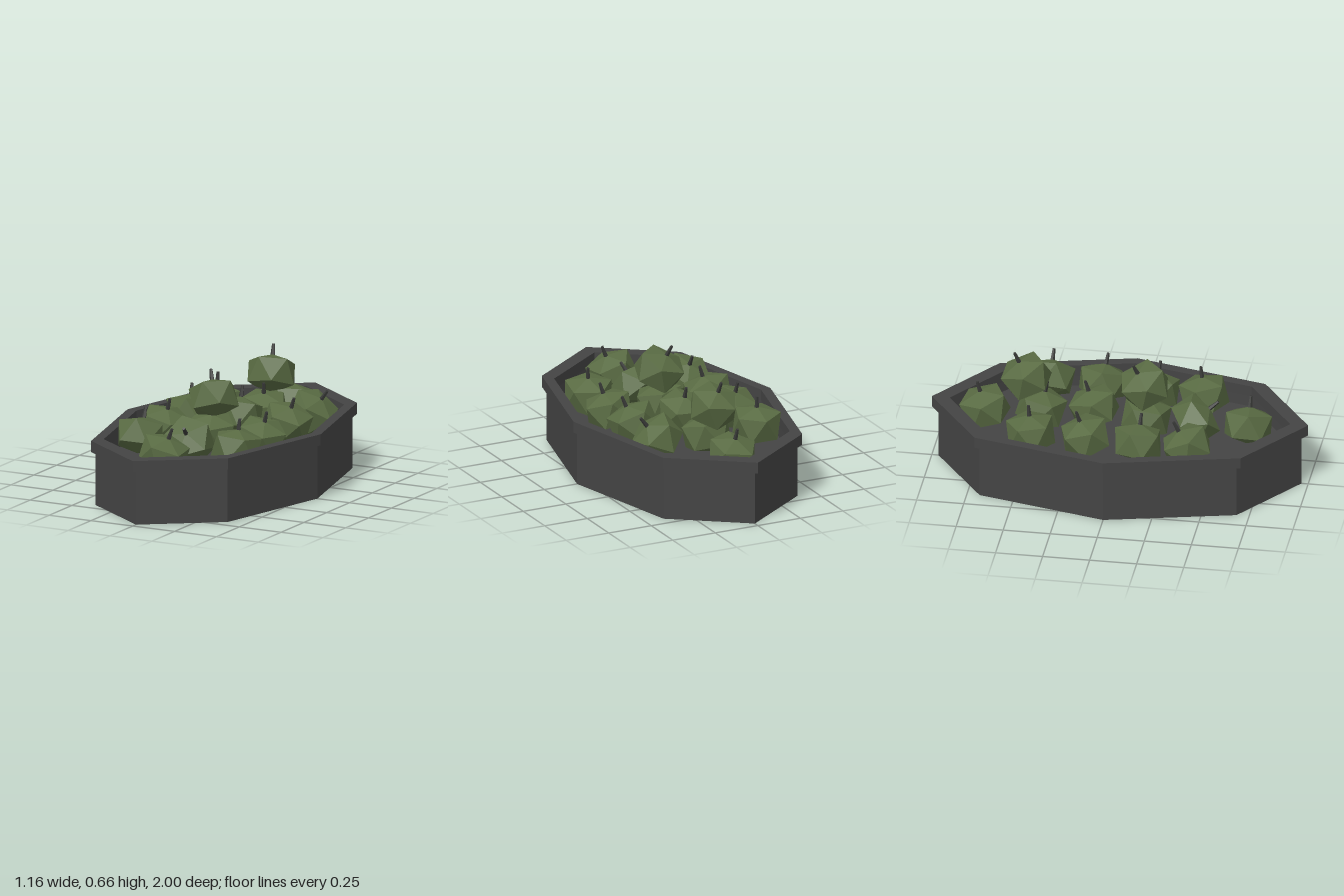
import * as THREE from 'three';

const stone = new THREE.MeshStandardMaterial({ color: 0x444444, flatShading: true });
stone.name = 'dark grey';
const green = new THREE.MeshStandardMaterial({ color: 0x596b43, flatShading: true });
green.name = 'olive green';
const stemGrey = new THREE.MeshStandardMaterial({ color: 0x393a38, flatShading: true });
stemGrey.name = 'stem grey';

// Eight-sided ring or tub, stretched along z
function octagon(name, profile) {
  const geometry = new THREE.LatheGeometry(profile.map(([r, y]) => new THREE.Vector2(r, y)), 8);
  geometry.scale(0.578, 1, 1);
  const mesh = new THREE.Mesh(geometry, stone);
  mesh.name = name;
  return mesh;
}

// Squashed twenty-sided fruit: two five-point rings, the lower one turned half a step
function fruitGeometry() {
  const geometry = new THREE.SphereGeometry(1, 5, 3);
  const p = geometry.attributes.position;
  for (let i = 0; i < p.count; i++) {
    const row = Math.floor(i / 6);
    const a = ((i % 6) - (row === 2 ? 0.5 : 0)) / 5 * Math.PI * 2;
    const r = row === 1 || row === 2 ? 0.128 : 0;
    p.setXYZ(i, -Math.cos(a) * r, [0.098, 0.062, -0.062, -0.098][row], Math.sin(a) * r);
  }
  return geometry;
}

// Each fruit: x, y, z, lean towards x, lean towards z, spin
const FRUITS = [
  [0.01, 0.31, -0.72, -0.08, -0.25, 0.1],
  [0.01, 0.51, -0.5, -0.12, -0.38, 0.2],
  [0.01, 0.33, -0.42, 0.1, 0.2, 0.5],
  [-0.28, 0.34, -0.43, 0.02, -0.08, 0.9],
  [0.3, 0.35, -0.42, 0.6, 0.04, 0.3],
  [-0.28, 0.34, -0.14, -0.08, -0.3, 0.6],
  [0.01, 0.36, -0.14, 0, -0.3, 0.2],
  [0.3, 0.35, -0.14, 0.35, 0.13, 0],
  [-0.28, 0.33, 0.14, 0.26, 0.08, 1],
  [0, 0.33, 0.14, 0.15, 0.15, 0.7],
  [0.01, 0.51, 0.13, -0.3, -0.35, 0.4],
  [0.3, 0.33, 0.14, 0.28, 0.13, 0.8],
  [-0.28, 0.33, 0.4, -0.04, -0.45, 0.5],
  [0.01, 0.33, 0.4, 0.2, 0.75, 0.3],
  [0.29, 0.33, 0.4, 0.08, -0.13, 1.1],
  [0.01, 0.32, 0.68, 0.35, 0.04, 0.1],
];

export function createModel() {
  const model = new THREE.Group();
  model.name = 'fruitTub';

  // Tub with a recessed floor, and an overhanging rim
  model.add(octagon('tub', [[0, 0], [0.965, 0], [0.965, 0.3], [0.91, 0.3], [0.905, 0.23], [0, 0.23]]));
  model.add(octagon('rim', [[0.905, 0.29], [1, 0.29], [1, 0.35], [0.905, 0.35], [0.905, 0.29]]));

  // Fruit heap
  const body = fruitGeometry();
  const stemShape = new THREE.CylinderGeometry(0.008, 0.013, 0.07, 5);
  const up = new THREE.Vector3(0, 1, 0);
  for (const [x, y, z, leanX, leanZ, spin] of FRUITS) {
    const fruit = new THREE.Group();
    fruit.name = 'fruit';
    const skin = new THREE.Mesh(body, green);
    skin.name = 'fruitBody';
    skin.rotation.y = spin;
    const stem = new THREE.Mesh(stemShape, stemGrey);
    stem.name = 'fruitStem';
    stem.position.y = 0.12;
    fruit.add(skin, stem);
    fruit.position.set(x, y, z);
    const axis = new THREE.Vector3(leanX, Math.sqrt(1 - leanX * leanX - leanZ * leanZ), leanZ);
    fruit.quaternion.setFromUnitVectors(up, axis.normalize());
    model.add(fruit);
  }
  return model;
}
